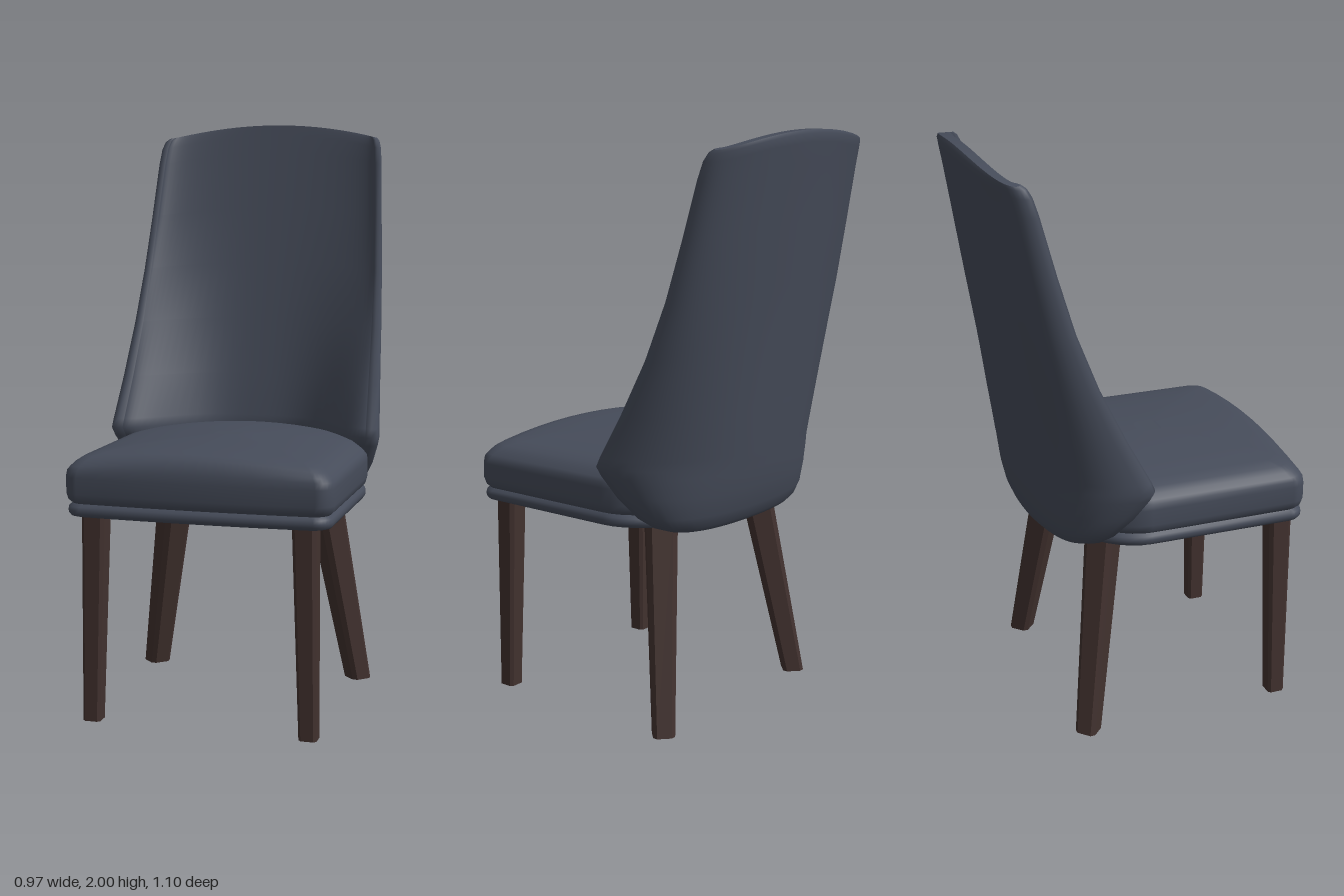
import * as THREE from 'three';

// Skins a stack of closed rings (counter-clockwise from above, bottom to top).
// Caps are zipped across the ring: point j pairs with point n - j.
function loft(rings, flat = false) {
  const n = rings[0].length, pos = [], idx = [];
  rings.forEach(r => r.forEach(p => pos.push(...p)));
  for (let i = 0; i < rings.length - 1; i++) {
    for (let j = 0; j < n; j++) {
      const a = i * n + j, b = i * n + (j + 1) % n;
      idx.push(a, b, b + n, a, b + n, a + n);
    }
  }
  const cap = (ring, up) => {
    const base = pos.length / 3;
    ring.forEach(p => pos.push(...p));
    const tri = (a, b, c) => idx.push(base + a, base + (up ? b : c), base + (up ? c : b));
    for (let j = 0; j < n / 2; j++) {
      if (j < n / 2 - 1) tri(j, j + 1, n - j - 1);
      if (j > 0) tri(j, n - j - 1, n - j);
    }
  };
  cap(rings[0], false);
  cap(rings[rings.length - 1], true);
  let g = new THREE.BufferGeometry();
  g.setAttribute('position', new THREE.Float32BufferAttribute(pos, 3));
  g.setIndex(idx);
  if (flat) g = g.toNonIndexed();
  g.computeVertexNormals();
  return g;
}

// Seat plan: round back, straight sides, rounded front corners, slightly bowed front.
function seatRing(w, back, front, y, k, crown = 0) {
  const pts = [], r = 0.052, zc = 0.12;
  for (let i = 0; i <= 24; i++) {
    const a = Math.PI * i / 24;
    pts.push([w * Math.cos(a), -0.03 - back * Math.sin(a)]);
  }
  pts.push([-w, 0.2]);
  for (let i = 0; i <= 6; i++) {
    const a = Math.PI * (1 + i / 12);
    pts.push([-w + r + r * Math.cos(a), front - r - r * Math.sin(a)]);
  }
  for (let i = 1; i < 8; i++) pts.push([(w - r) * (i / 4 - 1), front]);
  for (let i = 0; i <= 6; i++) {
    const a = Math.PI * (1.5 + i / 12);
    pts.push([w - r + r * Math.cos(a), front - r - r * Math.sin(a)]);
  }
  pts.push([w, 0.2]);
  // start the ring at the middle of the back
  return [...pts.slice(12), ...pts.slice(0, 12)].map(([x, z]) => {
    const bow = z > 0.3 ? 0.015 * (x / w) ** 2 : 0;
    return [x * k, y - crown * (x * k / w) ** 2, zc + (z - bow - zc) * k];
  });
}

// Backrest section at one height: lip, outer curve, lip, inner curve.
// The inner curve is bell-shaped by the seat and follows the outer one higher up.
function backRing([y, w, zBack, zFront]) {
  const m = 36, ring = [];
  const { lerp, clamp } = THREE.MathUtils;
  const h = clamp((y - 0.92) / 0.7, 0, 1);
  const wi = w - lerp(0.04, 0.022, h);
  const zInner = Math.min(-0.275 - Math.max(0, y - 0.94) * 0.217, zFront - 0.02);
  const drop = 0.05 * Math.max(0, y - 1);
  const add = (x, z) => ring.push([x, y - drop * (x / w) ** 2, z]);
  const curve = (width, zb, p, q, dir) => {
    for (let i = 0; i <= m; i++) {
      const t = dir * Math.sin(Math.PI / 2 - Math.PI * i / m);
      const depth = Math.max(0, 1 - Math.abs(t) ** p) ** q;
      add(width * t, zFront + (zb - zFront) * depth);
    }
  };
  add((w + wi) / 2, zFront + 0.01);
  curve(w, zBack, 2.2, 0.43, 1);
  add(-(w + wi) / 2, zFront + 0.01);
  curve(wi, zInner, lerp(3, 2.2, h), lerp(2, 0.55, h), -1);
  return ring;
}

// Leg section: rectangle with half sizes hx, hz and corners cut by the fraction c.
function legRing(y, cx, cz, hx, hz, c) {
  const f = 1 - c;
  return [[1, f], [1, -f], [f, -1], [-f, -1], [-1, -f], [-1, f], [-f, 1], [f, 1]]
    .map(([x, z]) => [cx + x * hx, y, cz + z * hz]);
}

export function createModel() {
  const group = new THREE.Group();
  const upholstery = new THREE.MeshStandardMaterial({ color: 0x464c5a });
  upholstery.name = 'slateUpholstery';
  const wood = new THREE.MeshStandardMaterial({ color: 0x42322f });
  wood.name = 'darkWood';
  const add = (name, geometry, material) => {
    const mesh = new THREE.Mesh(geometry, material);
    mesh.name = name;
    group.add(mesh);
  };

  // Seat base with a rounded edge
  add('seatBase', loft([
    [0.708, 0.965], [0.711, 0.985], [0.72, 0.998], [0.73, 1], [0.742, 0.995], [0.752, 0.97],
  ].map(([y, k]) => seatRing(0.445, 0.28, 0.547, y, k))), upholstery);

  // Domed cushion
  add('seatCushion', loft([
    [0.752, 0.965], [0.763, 0.987], [0.785, 1], [0.84, 1], [0.87, 0.993], [0.895, 0.973],
    [0.915, 0.94], [0.928, 0.89], [0.935, 0.8], [0.94, 0.6], [0.943, 0.35], [0.945, 0.1],
  ].map(([y, k]) => seatRing(0.451, 0.27, 0.55, y, k, 0.032 * THREE.MathUtils.smoothstep(y, 0.84, 0.92)))), upholstery);

  // Wrap-around backrest: height, half width, back z, front edge z
  add('backrest', loft([
    [0.688, 0.27, -0.31, -0.24], [0.695, 0.325, -0.328, -0.215], [0.712, 0.37, -0.345, -0.19],
    [0.75, 0.415, -0.362, -0.155], [0.82, 0.453, -0.38, -0.1], [0.89, 0.478, -0.391, -0.055],
    [0.92, 0.485, -0.395, -0.04], [0.95, 0.482, -0.4, -0.052], [1.1, 0.47, -0.42, -0.13],
    [1.3, 0.456, -0.445, -0.222], [1.5, 0.443, -0.475, -0.295], [1.7, 0.43, -0.505, -0.35],
    [1.9, 0.418, -0.535, -0.4], [1.96, 0.412, -0.545, -0.418], [1.988, 0.404, -0.548, -0.433],
    [2.0, 0.394, -0.54, -0.448],
  ].map(backRing)), upholstery);

  // Tapered legs; the rear pair splays out and back and is turned to the diagonal
  for (const s of [1, -1]) {
    const side = s > 0 ? 'Left' : 'Right';
    add('frontLeg' + side, loft([
      legRing(0.01, s * 0.37, 0.475, 0.03, 0.03, 0.3),
      legRing(0.72, s * 0.355, 0.468, 0.04, 0.041, 0.3),
    ], true), wood);
    add('rearLeg' + side, loft([
      legRing(0.005, s * 0.385, -0.238, 0.045, 0.043, 0.8),
      legRing(0.72, s * 0.27, -0.138, 0.065, 0.062, 0.8),
    ], true), wood);
  }
  return group;
}
